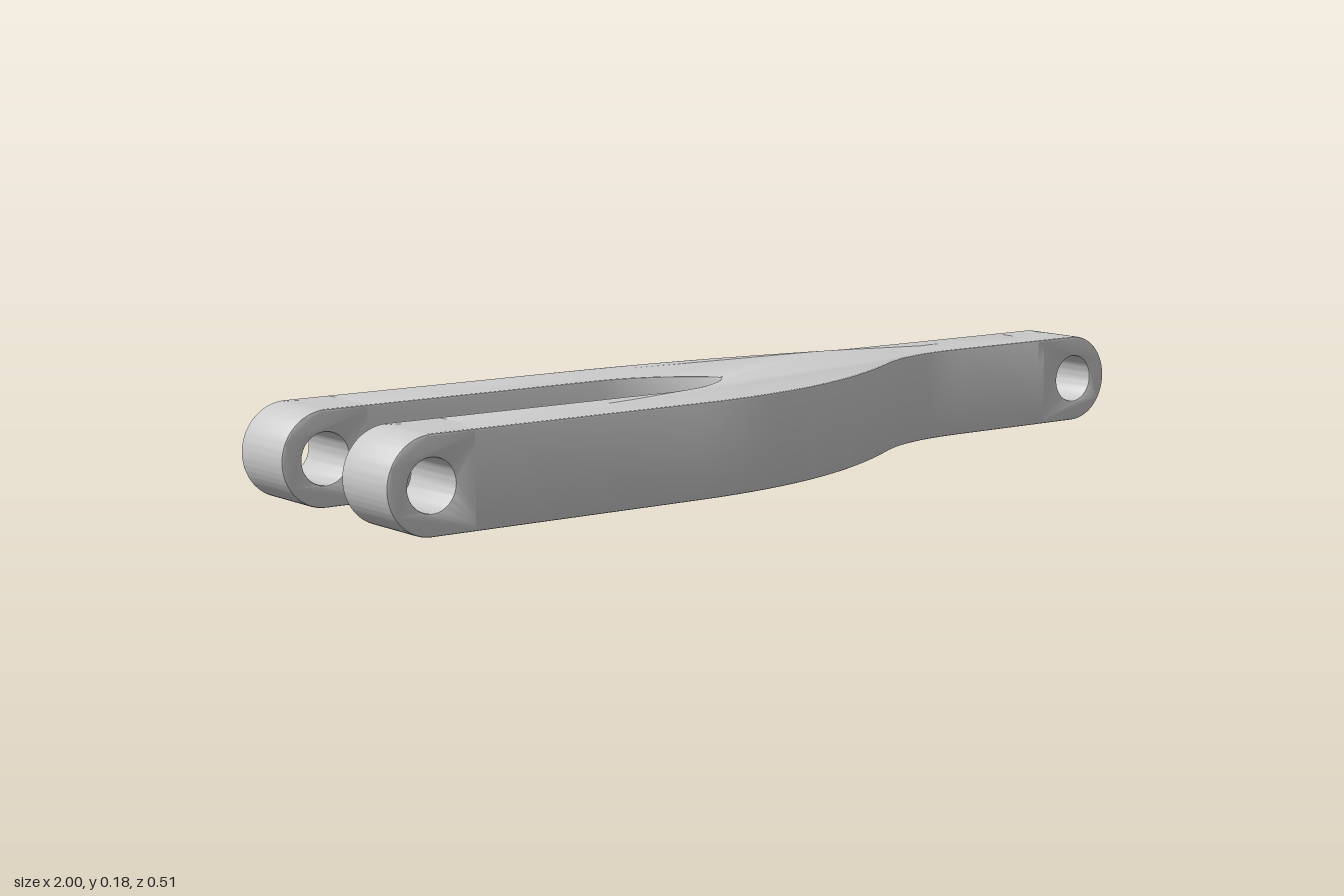
import * as THREE from 'three';
import { toCreasedNormals } from 'three/addons/utils/BufferGeometryUtils.js';

const H = 0.182;          // thickness (y)
const R = H / 2;          // radius of the rounded ends
const B = 0.004;          // small edge rounding
const material = new THREE.MeshStandardMaterial({ color: 0xcccccc });

// Extrudes a shape to an exact total depth, with softened edges
function softExtrude(shape, depth) {
  return new THREE.ExtrudeGeometry(shape, {
    depth: depth - 2 * B, bevelThickness: B, bevelSize: B, bevelOffset: -B,
    bevelSegments: 2, curveSegments: 24,
  }).translate(0, 0, B);
}

function addMesh(group, name, geometry) {
  const mesh = new THREE.Mesh(toCreasedNormals(geometry, 0.5), material);
  mesh.name = name;
  group.add(mesh);
}

// Forked body, drawn in plan (x, z); it ends just inside the lugs
function bodyGeometry() {
  const end = 0.82;
  const s = new THREE.Shape();
  s.moveTo(-end, 0.256);
  s.lineTo(-end, 0.105);
  // slot between the arms, meeting at a point
  s.lineTo(-0.3, 0.105);
  s.bezierCurveTo(-0.2, 0.105, -0.12, 0.05, -0.08, 0);
  s.bezierCurveTo(-0.12, -0.05, -0.2, -0.105, -0.3, -0.105);
  s.lineTo(-end, -0.105);
  s.lineTo(-end, -0.256);
  // back edge
  s.lineTo(-0.27, -0.256);
  s.bezierCurveTo(-0.05, -0.256, 0.12, -0.23, 0.3, -0.194);
  s.bezierCurveTo(0.36, -0.18, 0.38, -0.177, 0.45, -0.177);
  s.lineTo(end, -0.177);
  s.lineTo(end, -0.027);
  // front edge
  s.lineTo(0.58, -0.027);
  s.bezierCurveTo(0.49, -0.027, 0.41, -0.015, 0.315, 0.045);
  s.bezierCurveTo(0.15, 0.155, -0.05, 0.256, -0.33, 0.256);
  s.closePath();
  return softExtrude(s, H).rotateX(Math.PI / 2).translate(0, H, 0);
}

// Rounded lug with a pin hole, drawn from the side (x, y); side is -1 or 1
function lugGeometry(side, zMin, zMax) {
  const s = new THREE.Shape();
  const c = 1 - R;
  s.moveTo(0.8, 0);
  s.lineTo(c, 0);
  s.absarc(c, R, R, -Math.PI / 2, Math.PI / 2, false);
  s.lineTo(0.8, H);
  s.closePath();
  const hole = new THREE.Path();
  hole.absarc(c, R, 0.049, 0, Math.PI * 2, true);
  s.holes.push(hole);
  const g = softExtrude(s, zMax - zMin);
  if (side < 0) return g.rotateY(Math.PI).translate(0, 0, zMax);
  return g.translate(0, 0, zMin);
}

export function createModel() {
  const group = new THREE.Group();
  group.name = 'forkedLinkArm';
  addMesh(group, 'forkedBody', bodyGeometry());
  addMesh(group, 'frontForkLug', lugGeometry(-1, 0.105, 0.256));
  addMesh(group, 'backForkLug', lugGeometry(-1, -0.256, -0.105));
  addMesh(group, 'singleLug', lugGeometry(1, -0.177, -0.027));
  return group;
}
